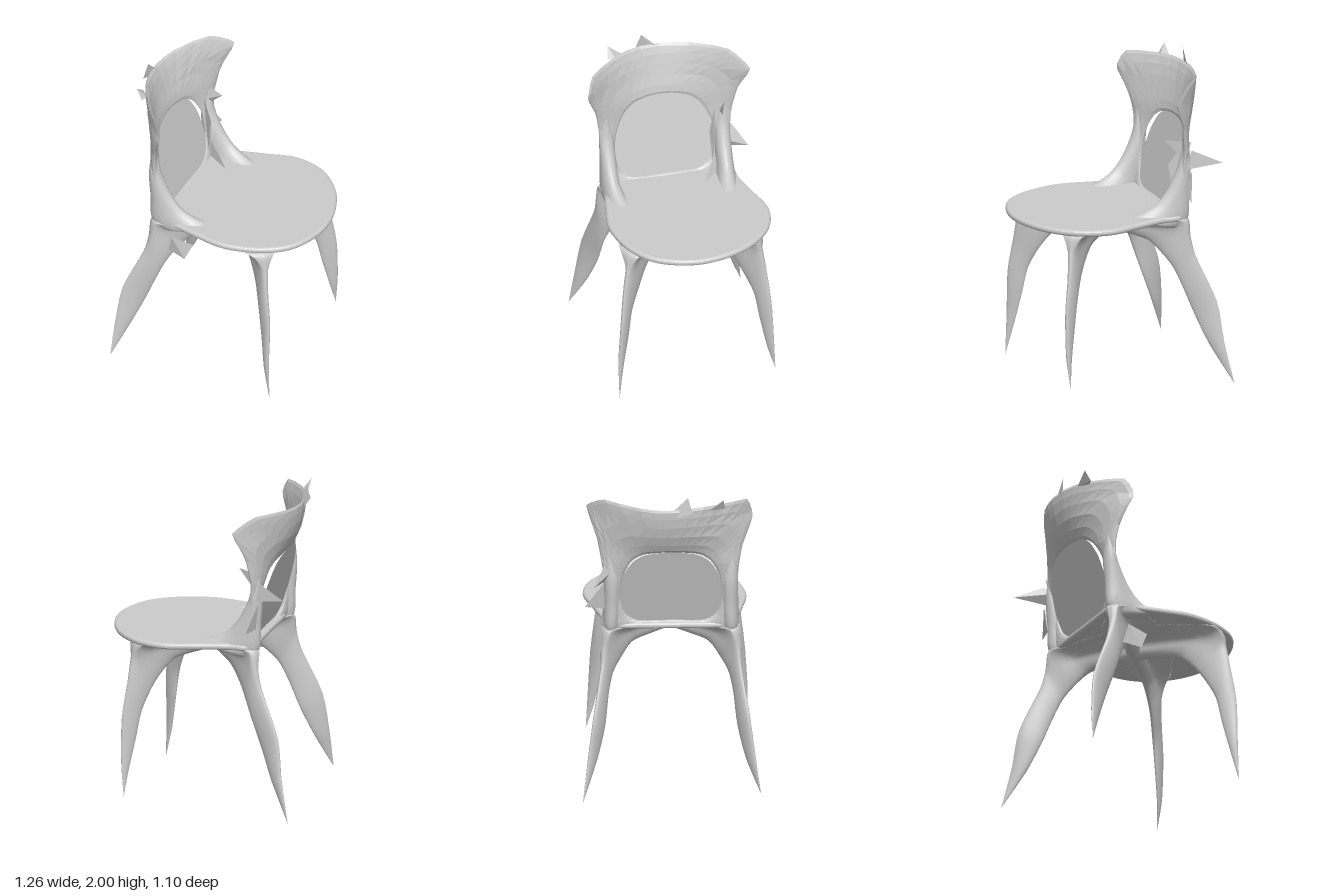
import * as THREE from 'three';
import { ConvexGeometry } from 'three/addons/geometries/ConvexGeometry.js';

const smooth = new THREE.MeshStandardMaterial({ color: 0xcccccc, side: THREE.DoubleSide });
const faceted = new THREE.MeshStandardMaterial({ color: 0xcccccc, side: THREE.DoubleSide, flatShading: true });
const V = (x, y, z) => new THREE.Vector3(x, y, z);

// Quad-grid surface from a point function
function grid(nu, nv, point) {
  const pos = [], idx = [];
  for (let i = 0; i <= nu; i++)
    for (let j = 0; j <= nv; j++) pos.push(...point(i / nu, j / nv).toArray());
  for (let i = 0; i < nu; i++)
    for (let j = 0; j < nv; j++) {
      const a = i * (nv + 1) + j, b = a + nv + 1;
      idx.push(a, b, a + 1, b, b + 1, a + 1);
    }
  const g = new THREE.BufferGeometry();
  g.setAttribute('position', new THREE.Float32BufferAttribute(pos, 3));
  g.setIndex(idx);
  g.computeVertexNormals();
  return g;
}

// Linear lookup in rows of [key, value]
function lookup(rows, k) {
  if (k <= rows[0][0]) return rows[0][1];
  for (let i = 1; i < rows.length; i++)
    if (k <= rows[i][0]) {
      const [a, b] = [rows[i - 1], rows[i]];
      return THREE.MathUtils.lerp(a[1], b[1], (k - a[0]) / (b[0] - a[0]));
    }
  return rows[rows.length - 1][1];
}

// Blade between two edges; rows are [outer xyz, inner xyz, half thickness, flange width at the outer edge]
function blade(rows, side, mirror) {
  const edge = o => new THREE.CatmullRomCurve3(rows.map(r => V(r[o], r[o + 1], r[o + 2] * mirror)), false, 'catmullrom', 0.4);
  const A = edge(0), B = edge(3), n = rows.length - 1;
  const dir = V(side.x, side.y, side.z * mirror);
  const value = (column, u) => lookup(rows.map((r, i) => [i / n, r[column]]), u);
  return grid(n * 4, 24, (u, v) => {
    const a = A.getPoint(u), b = B.getPoint(u), c = Math.cos(v * Math.PI * 2), s = Math.sin(v * Math.PI * 2);
    const flange = Math.abs(s) < 1e-6 ? 0 : Math.sign(s) * Math.max(c, 0) ** 2;
    return a.lerp(b, 0.5 - c / 2).addScaledVector(dir, s * value(6, u) + flange * value(7, u));
  });
}

// Legs run from the seat centre; each has its own pointed foot as the last row
const frontLeg = foot => [
  [0, 1.06, 0, 0, 0.93, 0, 0.05, 0.22],
  [0.2, 1.06, 0.22, 0.12, 0.92, 0.13, 0.045, 0.2],
  [0.34, 1.06, 0.36, 0.2, 0.9, 0.22, 0.035, 0.12],
  [0.395, 1.045, 0.41, 0.26, 0.83, 0.28, 0.03, 0.06],
  [0.412, 0.96, 0.425, 0.31, 0.74, 0.33, 0.027, 0.008],
  [0.43, 0.8, 0.45, 0.36, 0.6, 0.39, 0.025, 0],
  [0.46, 0.57, 0.475, 0.39, 0.42, 0.42, 0.02, 0],
  [0.46, 0.3, 0.49, 0.425, 0.22, 0.46, 0.014, 0],
  [...foot, ...foot, 0, 0]];
const backLeg = foot => [
  [0, 1.06, 0, 0, 0.93, 0, 0.05, 0.22],
  [-0.15, 1.06, 0.2, -0.1, 0.92, 0.13, 0.045, 0.2],
  [-0.28, 1.06, 0.34, -0.18, 0.9, 0.24, 0.035, 0.09],
  [-0.37, 1.06, 0.4, -0.25, 0.82, 0.31, 0.03, 0.03],
  [-0.385, 0.95, 0.42, -0.3, 0.74, 0.36, 0.028, 0.01],
  [-0.42, 0.82, 0.43, -0.35, 0.62, 0.39, 0.027, 0],
  [-0.54, 0.53, 0.48, -0.42, 0.44, 0.41, 0.024, 0],
  [-0.575, 0.27, 0.515, -0.5, 0.25, 0.46, 0.018, 0],
  [...foot, ...foot, 0, 0]];
const stile = [
  [-0.365, 1.62, 0.38, -0.385, 1.62, 0.38, 0.01, 0],
  [-0.33, 1.4, 0.37, -0.41, 1.4, 0.365, 0.045, 0],
  [-0.26, 1.25, 0.365, -0.4, 1.22, 0.365, 0.05, 0],
  [-0.185, 1.16, 0.36, -0.39, 1.06, 0.37, 0.055, 0],
  [-0.09, 1.108, 0.345, -0.3, 1.0, 0.36, 0.065, 0],
  [0, 1.08, 0.33, -0.05, 1.06, 0.33, 0.07, 0]];

// Backrest outlines as [z, y], starting at the bottom centre
const outerRim = [[0, 1.05], [0.25, 1.05], [0.41, 1.06], [0.41, 1.25], [0.415, 1.45], [0.44, 1.6], [0.505, 1.77],
  [0.465, 1.9], [0.2, 1.925], [-0.1, 1.915], [-0.41, 1.925], [-0.52, 1.84], [-0.455, 1.65], [-0.42, 1.45],
  [-0.41, 1.25], [-0.41, 1.06], [-0.25, 1.05]];
const innerRim = [[0, 1.1], [0.2, 1.1], [0.28, 1.15], [0.31, 1.25], [0.31, 1.35], [0.29, 1.44], [0.24, 1.53],
  [0.17, 1.58], [0.06, 1.6], [-0.06, 1.6], [-0.17, 1.58], [-0.24, 1.53], [-0.29, 1.44], [-0.31, 1.35],
  [-0.31, 1.25], [-0.28, 1.15], [-0.2, 1.1]];
const rim = (pts, tension) => new THREE.CatmullRomCurve3(pts.map(([z, y]) => V(0, y, z)), true, 'catmullrom', tension);

// Backward lean and sideways wrap of the backrest
const lean = [[1.05, -0.31], [1.2, -0.355], [1.4, -0.405], [1.6, -0.46], [1.75, -0.515], [1.92, -0.555]];
const wrap = [[1.05, -0.25], [1.25, 0.12], [1.5, 0.4], [1.65, 0.7], [1.8, 1], [1.92, 1.05]];
const backX = p => lookup(lean, p.y) + lookup(wrap, p.y) * p.z * p.z;

export function createModel() {
  const model = new THREE.Group();
  const add = (name, geometry, material) => {
    const m = new THREE.Mesh(geometry, material);
    m.name = name;
    model.add(m);
  };

  // Seat: rounded slab, drawn as (x, -z)
  const plan = [[-0.34, 0], [-0.34, 0.3], [-0.32, 0.4], [-0.2, 0.41], [-0.02, 0.46], [0.18, 0.51], [0.38, 0.45], [0.54, 0.27],
    [0.61, 0], [0.54, -0.25], [0.38, -0.39], [0.15, -0.455], [-0.05, -0.43], [-0.2, -0.4], [-0.32, -0.39], [-0.34, -0.3]];
  const outline = new THREE.CatmullRomCurve3(plan.map(([x, y]) => V(x, y, 0)), true, 'catmullrom', 0.5);
  const shape = new THREE.Shape(outline.getPoints(90).slice(0, -1).map(p => new THREE.Vector2(p.x, p.y)));
  const seat = new THREE.ExtrudeGeometry(shape, { depth: 0.004, bevelThickness: 0.018, bevelSize: 0.02, bevelSegments: 5 });
  seat.rotateX(-Math.PI / 2).translate(0, 1.07, 0);
  add('seat', seat, smooth);

  // Legs with radial ribs flaring into the seat, and stiles flowing down onto it
  const feet = [
    ['left', 1, [0.47, 0.02, 0.49], [-0.59, 0.04, 0.55]],
    ['right', -1, [0.44, 0.07, 0.505], [-0.63, 0.005, 0.55]]];
  for (const [side, m, frontFoot, backFoot] of feet) {
    add(side + 'FrontLeg', blade(frontLeg(frontFoot), V(-0.73, 0, 0.68), m), smooth);
    add(side + 'BackLeg', blade(backLeg(backFoot), V(0.68, 0, 0.73), m), smooth);
    add(side + 'Stile', blade(stile, V(0, 0, 1), m), smooth);
  }

  // Backrest frame around the oval opening, and the flat thin panel that fills it
  const outer = rim(outerRim, 0.2), inner = rim(innerRim, 0.4);
  add('backrestFrame', grid(51, 14, (u, v) => {
    const a = v * Math.PI * 2;
    const p = inner.getPoint(u % 1).lerp(outer.getPoint(u % 1), 0.5 + 0.5 * Math.cos(a));
    p.x = backX(p) + 0.022 * Math.sin(a);
    return p;
  }), faceted);
  add('backrestPanel', grid(51, 1, (u, v) => {
    const p = V(0, 1.35, 0).lerp(inner.getPoint(u % 1), v);
    p.x = -0.325 - 0.27 * (p.y - 1.1);
    return p;
  }), smooth);

  // Ragged shards around the backrest and under the seat
  const shards = [
    [[-0.55, 2, 0.1], [-0.57, 1.9, 0.13], [-0.54, 1.84, -0.06], [-0.55, 1.9, 0.05]],
    [[-0.52, 1.97, 0.32], [-0.48, 1.9, 0.33], [-0.52, 1.9, 0.23], [-0.47, 1.9, 0.28]],
    [[-0.58, 1.42, -0.48], [-0.4, 1.5, -0.41], [-0.38, 1.38, -0.41], [-0.4, 1.44, -0.38]],
    [[-0.25, 1.56, -0.33], [-0.4, 1.55, -0.4], [-0.38, 1.42, -0.38], [-0.37, 1.48, -0.35]],
    [[-0.35, 1.2, -0.53], [-0.4, 1.37, -0.42], [-0.38, 1.2, -0.41], [-0.36, 1.25, -0.4]],
    [[-0.3, 1.38, -0.27], [-0.37, 1.5, -0.32], [-0.36, 1.15, -0.33], [-0.33, 1.12, -0.3]],
    [[-0.17, 1.1, -0.21], [-0.36, 1.22, -0.34], [-0.33, 1.09, -0.31], [-0.31, 1.1, -0.36]],
    [[-0.16, 0.82, 0.39], [-0.28, 0.84, 0.37], [-0.11, 0.93, 0.37], [-0.25, 0.96, 0.39]]];
  for (const s of shards) add('shard', new ConvexGeometry(s.map(p => V(...p))), faceted);

  return model;
}
